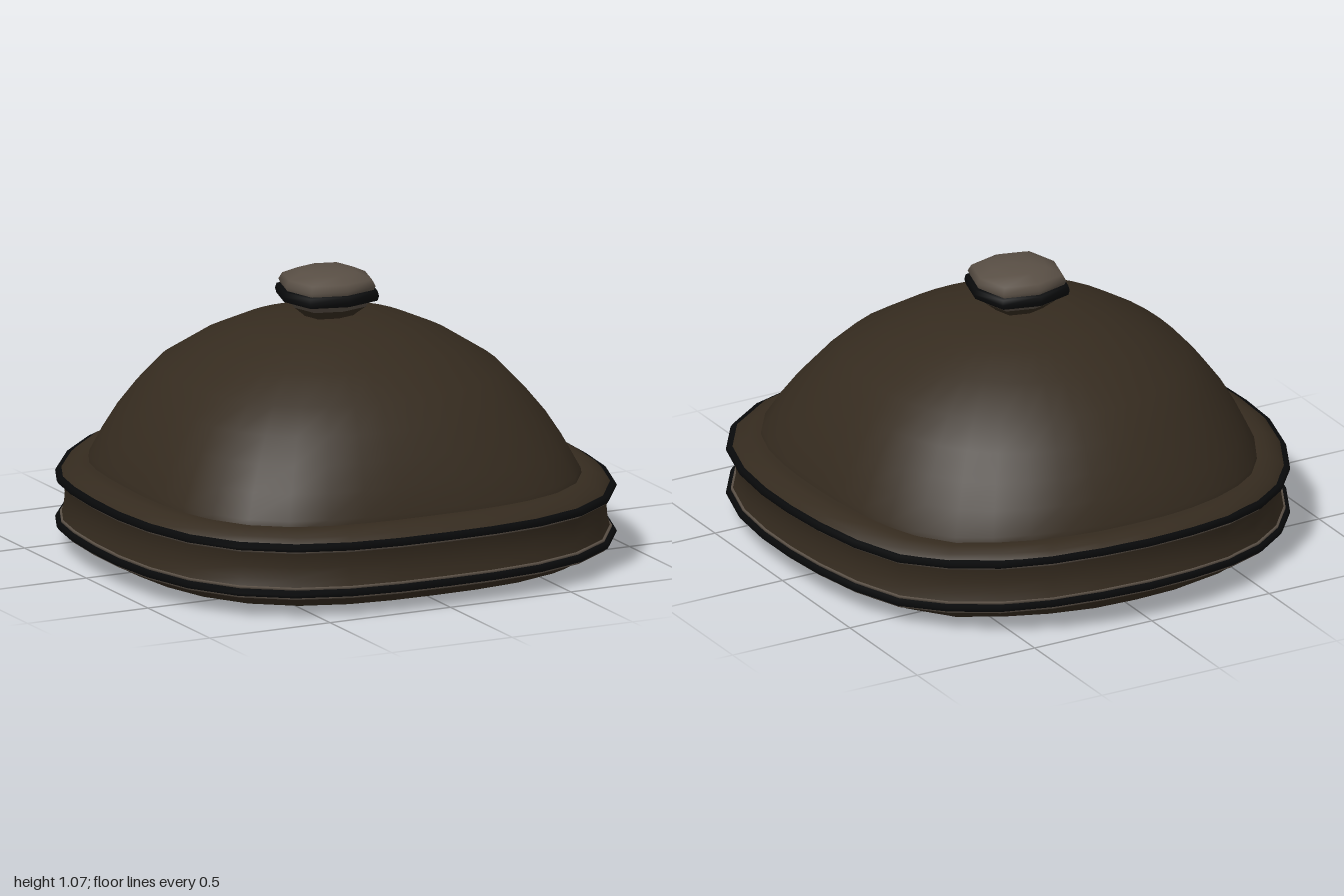
import * as THREE from 'three';

const felt = new THREE.MeshStandardMaterial({ name: 'dark brown felt', color: 0x352b1f });
const black = new THREE.MeshStandardMaterial({ name: 'black trim', color: 0x08090a });
const grey = new THREE.MeshStandardMaterial({ name: 'warm grey', color: 0x584e44 });

// Gentle wave of the brim from front to back
const waveKeys = [[-1, 0.042], [-0.85, 0.016], [-0.6, -0.006], [-0.2, 0.014], [0.3, 0.007], [1, -0.002]];
function wave(z) {
  const t = THREE.MathUtils.clamp(z, -1, 1);
  for (let i = 0; i < waveKeys.length - 1; i++) {
    const [z0, y0] = waveKeys[i], [z1, y1] = waveKeys[i + 1];
    if (t <= z1) return y0 + (y1 - y0) * THREE.MathUtils.smoothstep(t, z0, z1);
  }
  return 0;
}

// Joins rounded-square rings; each row is [radius, y, front squareness, back squareness, wave amount]
function loft(name, material, rows, segs = 32) {
  const pos = [], index = [];
  rows.forEach(([r, y, nf, nb, w]) => {
    for (let i = 0; i < segs; i++) {
      const a = (i / segs) * Math.PI * 2, c = Math.cos(a), s = Math.sin(a);
      const n = s > 0 ? nf : nb;
      const k = r * Math.pow(Math.pow(Math.abs(c), n) + Math.pow(Math.abs(s), n), -1 / n);
      const z = k * s * (w > 0 ? 1.016 : 1);
      pos.push(k * c, y + w * wave(z), z);
    }
  });
  for (let j = 0; j < rows.length - 1; j++) {
    for (let i = 0; i < segs; i++) {
      const a = j * segs + i, b = j * segs + (i + 1) % segs;
      index.push(a, a + segs, b, b, a + segs, b + segs);
    }
  }
  const g = new THREE.BufferGeometry();
  g.setAttribute('position', new THREE.Float32BufferAttribute(pos, 3));
  g.setIndex(index);
  g.computeVertexNormals();
  const mesh = new THREE.Mesh(g, material);
  mesh.name = name;
  return mesh;
}

const brimRows = (list) => list.map(([r, y]) => [r, y, 2.83, 2.16, 1]);
const knobRows = (list) => list.map(([r, y]) => [r, y, 2.8, 2.8, 0]);

// Dome rows get rounder towards the top
const domeRows = (list) => list.map(([r, y]) => {
  const t = THREE.MathUtils.clamp((0.89 - y) / 0.56, 0, 1);
  return [r, y, 2 + 1.25 * t, 2 + 0.4 * t, t];
});

export function createModel() {
  const group = new THREE.Group();
  group.name = 'hat';

  // Crown, outside and inside
  group.add(loft('crown', felt, domeRows([
    [0.845, 0.3], [0.84, 0.34], [0.8, 0.43], [0.752, 0.52], [0.69, 0.61], [0.612, 0.7],
    [0.475, 0.79], [0.33, 0.857], [0.18, 0.892], [0, 0.897],
  ]), 40));
  group.add(loft('crownLining', felt, domeRows([
    [0, 0.865], [0.18, 0.86], [0.32, 0.825], [0.46, 0.76], [0.59, 0.67], [0.665, 0.585],
    [0.725, 0.5], [0.77, 0.41], [0.805, 0.32], [0.79, 0.24], [0.76, 0.17],
  ]), 40));

  // Rolled brim: lip inside the opening, underside, side wall and top
  group.add(loft('openingLip', felt, brimRows([[0.77, 0.175], [0.72, 0.155]])));
  group.add(loft('brimUnderside', felt, brimRows([
    [0.72, 0.155], [0.714, 0.1], [0.725, 0.045], [0.765, 0.01], [0.81, 0.006],
    [0.87, 0.022], [0.917, 0.047], [0.957, 0.083],
  ])));
  group.add(loft('brimWall', felt, brimRows([
    [0.962, 0.113], [0.953, 0.148], [0.95, 0.188], [0.953, 0.228], [0.962, 0.257],
  ])));
  group.add(loft('brimTop', felt, brimRows([
    [0.966, 0.28], [0.945, 0.303], [0.905, 0.321], [0.87, 0.321], [0.8, 0.314],
  ])));

  // Two black cords round the brim, with a thin pale edge beside each
  for (const [name, y, edges] of [['lowerCord', 0.095, [-1, 1]], ['upperCord', 0.27, [-1]]]) {
    group.add(loft(name, black, brimRows([
      [0.945, y - 0.015], [0.978, y - 0.013], [0.985, y], [0.978, y + 0.013], [0.945, y + 0.015],
    ])));
    for (const d of edges) {
      const e = y + d * 0.017;
      group.add(loft(name + (d < 0 ? 'EdgeBelow' : 'EdgeAbove'), grey, brimRows([
        [0.94, e - 0.006], [0.968, e - 0.005], [0.968, e + 0.005], [0.94, e + 0.006],
      ])));
    }
  }

  // Eight-sided knob on the crown
  const knob = new THREE.Group();
  knob.name = 'knob';
  knob.add(loft('knobStem', felt, knobRows([[0.085, 0.88], [0.095, 0.897], [0.135, 0.93]]), 8));
  knob.add(loft('knobLower', grey, knobRows([[0.135, 0.93], [0.158, 0.96]]), 8));
  knob.add(loft('knobCord', black, knobRows([
    [0.15, 0.954], [0.178, 0.957], [0.183, 0.975], [0.178, 0.994], [0.15, 1.0],
  ]), 8));
  knob.add(loft('knobTop', grey, knobRows([
    [0.162, 0.99], [0.171, 1.012], [0.158, 1.036], [0.105, 1.06], [0.05, 1.067], [0, 1.069],
  ]), 8));
  group.add(knob);

  return group;
}
